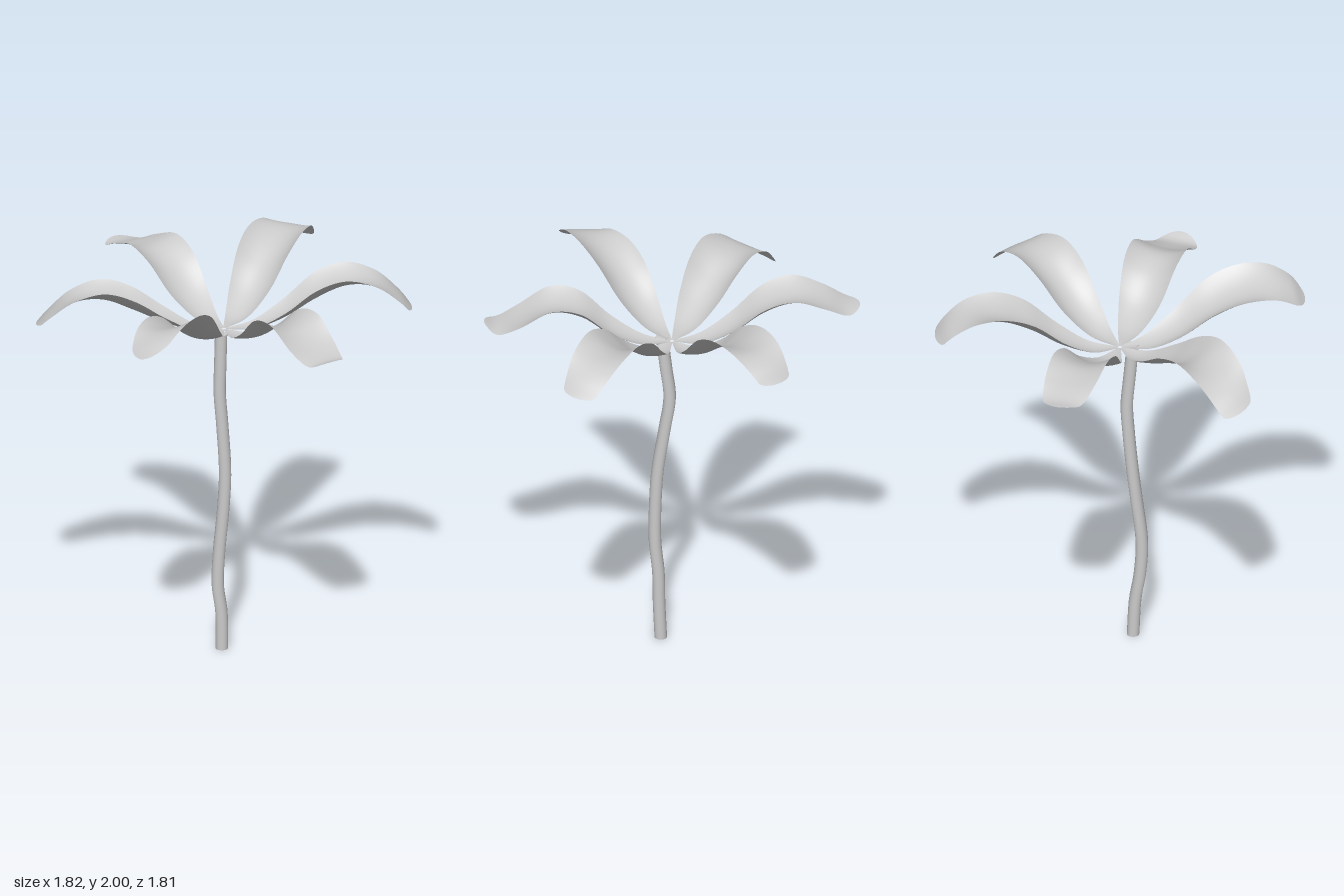
import * as THREE from 'three';

const material = new THREE.MeshStandardMaterial({ color: 0xcccccc, side: THREE.DoubleSide });

// Shared stations along every petal: distance from the centre, half width, cupping
const RADIUS = [0.01, 0.15, 0.3, 0.45, 0.6, 0.75, 0.86, 0.93];
const WIDTH = [0.008, 0.062, 0.108, 0.134, 0.141, 0.13, 0.105, 0.08];
const CUP = [0, 0.015, 0.05, 0.078, 0.062, 0.02, -0.008, -0.01];

// Each petal: tip direction (x, z), midrib heights, sideways bow, roll, cupping factor, tip rounding
const PETALS = [
  { name: 'backPetal', dir: [0.22, -0.9], y: [1.675, 1.68, 1.74, 1.84, 1.915, 1.945, 1.91, 1.84], bow: 0.014, roll: 0, cupping: 1, round: 0.06 },
  { name: 'leftPetal', dir: [0.91, -0.19], y: [1.675, 1.68, 1.735, 1.83, 1.9, 1.905, 1.85, 1.775], bow: -0.02, roll: 0.005, cupping: 1, round: 0.06 },
  { name: 'frontLeftPetal', dir: [0.66, 0.66], y: [1.675, 1.68, 1.735, 1.84, 1.875, 1.82, 1.79, 1.81], bow: 0, roll: 0, cupping: 0.75, round: 0.15 },
  { name: 'frontPetal', dir: [-0.24, 0.9], y: [1.675, 1.68, 1.735, 1.83, 1.905, 1.945, 1.92, 1.86], bow: -0.005, roll: -0.032, cupping: 0.95, round: 0.15 },
  { name: 'rightPetal', dir: [-0.91, 0.22], y: [1.675, 1.68, 1.73, 1.8, 1.86, 1.855, 1.795, 1.725], bow: -0.015, roll: -0.018, cupping: 1, round: 0.06 },
  { name: 'backRightPetal', dir: [-0.65, -0.65], y: [1.675, 1.68, 1.74, 1.845, 1.905, 1.89, 1.86, 1.86], bow: 0, roll: -0.005, cupping: 0.75, round: 0.15 },
];

// A sheet bent along its midrib, cupped across and rounded at the tip
function petal({ name, dir, y, bow, roll, cupping, round }) {
  const rib = new THREE.CatmullRomCurve3(RADIUS.map((r, i) => new THREE.Vector3(r, y[i], 0)), false, 'catmullrom');
  const section = new THREE.CatmullRomCurve3(WIDTH.map((w, i) => new THREE.Vector3(w, CUP[i], 0)), false, 'catmullrom');
  const d = new THREE.Vector2(...dir).normalize();
  const geometry = new THREE.PlaneGeometry(1, 1, 18, 42);
  const pos = geometry.attributes.position;
  for (let i = 0; i < pos.count; i++) {
    const s = Math.sin(Math.PI * pos.getX(i));
    const v = pos.getY(i) + 0.5;
    const t = v * (1 - round * (1 - Math.sqrt(Math.max(0, 1 - s * s))) * v ** 4);
    const mid = rib.getPoint(t);
    const { x: width, y: cup } = section.getPoint(t);
    const side = width * s + bow * Math.sin(Math.PI * t);
    const height = mid.y + cupping * cup * s * s + roll * s * Math.sin(Math.PI * 0.6 * t);
    pos.setXYZ(i, d.x * mid.x - d.y * side, height, d.y * mid.x + d.x * side);
  }
  geometry.computeVertexNormals();
  const mesh = new THREE.Mesh(geometry, material);
  mesh.name = name;
  return mesh;
}

// Closed round stalk whose rings are shifted to follow a wavy path
function stem() {
  const path = new THREE.CatmullRomCurve3([
    [0.002, 0, 0.073], [0.002, 0.2, 0.085], [-0.013, 0.35, 0.103], [-0.005, 0.52, 0.118], [0.015, 0.78, 0.096],
    [0.019, 0.95, 0.077], [0, 1.18, 0.047], [-0.016, 1.35, 0.03], [-0.01, 1.5, 0.048], [-0.002, 1.675, 0.07],
  ].map((p) => new THREE.Vector3(...p)));
  const geometry = new THREE.CylinderGeometry(0.031, 0.031, 1, 16, 48);
  const pos = geometry.attributes.position;
  for (let i = 0; i < pos.count; i++) {
    const c = path.getPoint(pos.getY(i) + 0.5);
    pos.setXYZ(i, pos.getX(i) + c.x, c.y, pos.getZ(i) + c.z);
  }
  const mesh = new THREE.Mesh(geometry, material);
  mesh.name = 'stem';
  return mesh;
}

export function createModel() {
  const flower = new THREE.Group();
  flower.name = 'flower';
  const blossom = new THREE.Group();
  blossom.name = 'blossom';
  PETALS.forEach((p) => blossom.add(petal(p)));
  flower.add(stem(), blossom);
  return flower;
}
